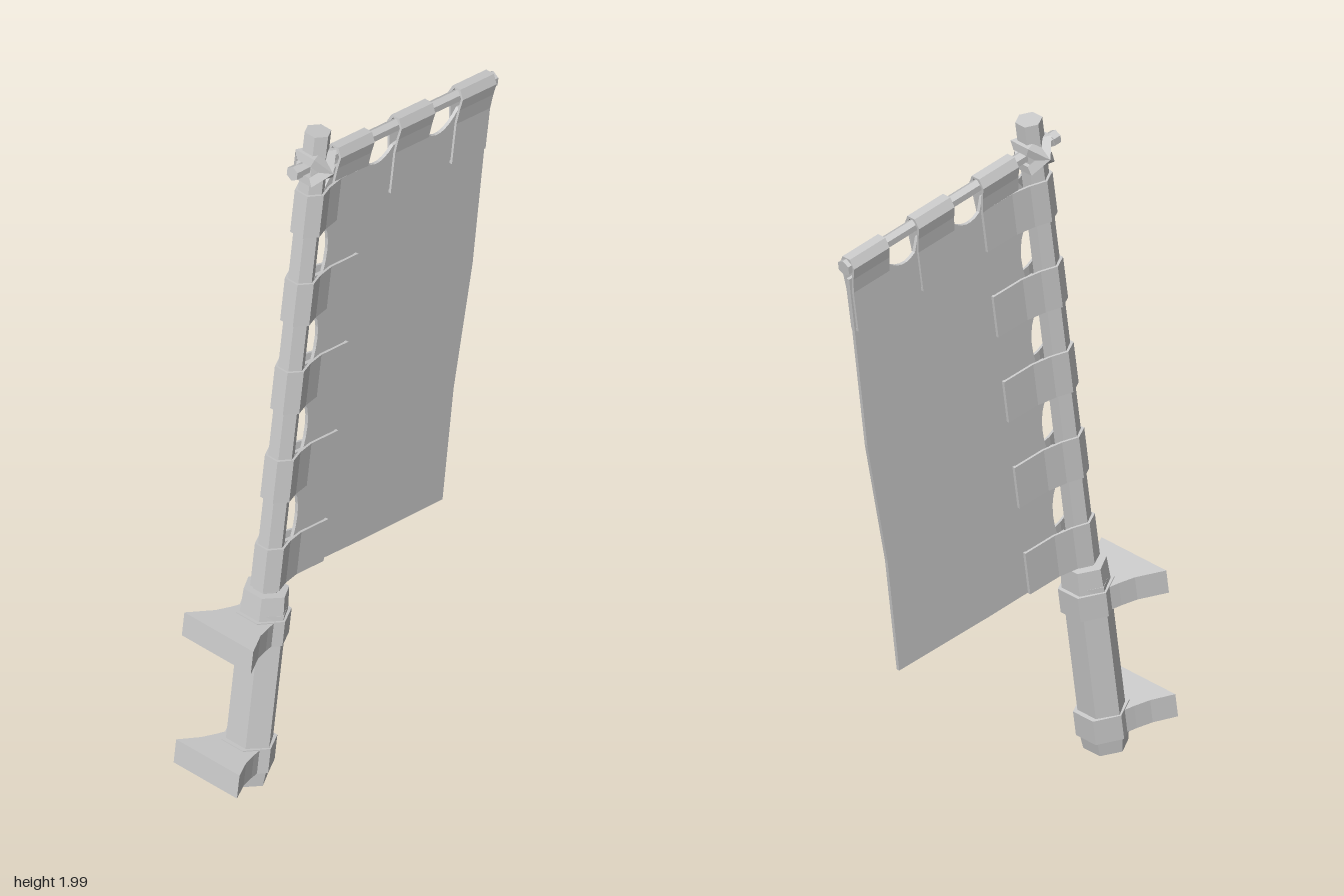
import * as THREE from 'three';

const material = new THREE.MeshStandardMaterial({ color: 0xcccccc, flatShading: true, side: THREE.DoubleSide });

export function createModel() {
  const model = new THREE.Group();
  model.name = 'banner';
  // Everything is built upright, then the whole standard leans back
  const standard = new THREE.Group();
  standard.name = 'leaningStandard';
  standard.rotation.x = -0.14;
  standard.position.set(0, 0.009, 0.4);
  model.add(standard);

  const add = (name, geometry) => {
    const mesh = new THREE.Mesh(geometry, material);
    mesh.name = name;
    standard.add(mesh);
    return mesh;
  };
  // Hexagonal prism with a flat side to the front
  const hex = (name, rBottom, rTop, y0, y1, depth = 1) => {
    const g = new THREE.CylinderGeometry(rTop, rBottom, y1 - y0, 6, 1, false, Math.PI / 6);
    g.scale(1, 1, depth);
    g.translate(0, (y0 + y1) / 2, 0);
    return add(name, g);
  };
  const extrude = (shape, depth) =>
    new THREE.ExtrudeGeometry(shape, { depth, bevelEnabled: false, curveSegments: 6 });
  // Symmetric outline from its right half
  const mirrored = (half) =>
    [...half, ...half.map(([x, y]) => [-x, y]).reverse()].map(([x, y]) => new THREE.Vector2(x, y));

  // Handle and pole
  hex('handleFoot', 0.064, 0.07, 0, 0.05, 0.95);
  hex('handle', 0.071, 0.071, 0.05, 0.53, 0.87);
  hex('handleCap', 0.071, 0.066, 0.5, 0.585, 0.93);
  hex('pole', 0.037, 0.037, 0.56, 2.0);

  // Collars with flared mounting brackets facing the front
  for (const [y, reach, width] of [[0.046, 0.161, 0.115], [0.44, 0.174, 0.125]]) {
    hex('collar', 0.077, 0.077, y, y + 0.075);
    const outline = mirrored([[0.06, -0.02], [0.068, -0.055], [0.082, -0.1], [width, -reach]]);
    const bracket = add('bracket', extrude(new THREE.Shape(outline), 0.071));
    bracket.rotation.x = -Math.PI / 2;
    bracket.position.y = y + 0.001;
  }

  // Cross rod with end knobs
  const rodPart = (name, r, z0, z1) => {
    const g = new THREE.CylinderGeometry(r, r, z1 - z0, 6);
    g.rotateX(Math.PI / 2);
    g.translate(0, 1.9, (z0 + z1) / 2);
    add(name, g);
  };
  rodPart('crossRod', 0.018, -0.68, 0.08);
  rodPart('rodKnobBack', 0.023, -0.69, -0.665);
  rodPart('rodKnobFront', 0.021, 0.062, 0.086);

  // Two crossed lashings tying rod to pole
  for (const side of [-1, 1]) {
    const g = new THREE.TorusGeometry(0.05, 0.019, 4, 6);
    g.rotateX(Math.PI / 2 + side * Math.PI / 4);
    g.translate(0, 1.9, 0);
    add('lashing', g);
  }

  // Cloth: x of the shape runs away from the pole
  const centres = [0.66, 0.935, 1.21, 1.483, 1.757];
  const cloth = new THREE.Shape();
  cloth.moveTo(0.045, 0.597);
  cloth.lineTo(0.35, 0.597);
  cloth.lineTo(0.674, 0.603);
  cloth.lineTo(0.668, 0.95);
  cloth.lineTo(0.688, 1.33);
  cloth.lineTo(0.68, 1.86);
  cloth.lineTo(0.56, 1.86);
  // notches along the rod
  for (const d of [0.545, 0.31]) {
    cloth.lineTo(d, 1.84);
    cloth.quadraticCurveTo(d - 0.05, 1.785, d - 0.1, 1.82);
    cloth.lineTo(d - 0.115, 1.86);
  }
  cloth.lineTo(0.08, 1.86);
  cloth.lineTo(0.05, 1.81);
  // notches along the pole
  for (let i = 4; i > 0; i--) {
    const top = centres[i] - 0.05, bottom = centres[i - 1] + 0.05;
    cloth.lineTo(0.05, top);
    cloth.quadraticCurveTo(0.105, (top + bottom) / 2 + 0.03, 0.08, bottom);
    cloth.lineTo(0.05, bottom);
  }
  const sheet = add('cloth', extrude(cloth, 0.01));
  sheet.rotation.y = Math.PI / 2;
  sheet.position.x = -0.005;

  // Folded strap: an open loop around the pole or rod, closed at its tail
  const strap = (name, half) => {
    const shape = new THREE.Shape(mirrored(half));
    const last = half.length - 1;
    shape.holes.push(new THREE.Path(mirrored(half.map(([x, d], i) =>
      [x - 0.007, d + (i === 0 ? 0.006 : i === last ? -0.008 : 0)]))));
    return add(name, extrude(shape, 0.13));
  };
  for (const y of centres) {
    const s = strap('poleStrap', [[0.023, -0.04], [0.045, 0], [0.027, 0.045], [0.015, 0.1], [0.014, 0.205]]);
    s.rotation.x = -Math.PI / 2;
    s.position.y = y - 0.065;
  }
  for (const z of [-0.205, -0.44, -0.677]) {
    const s = strap('rodStrap', [[0.014, -0.026], [0.027, 0], [0.02, 0.035], [0.014, 0.08], [0.014, 0.205]]);
    s.rotation.z = Math.PI;
    s.position.set(0, 1.9, z);
  }
  return model;
}
